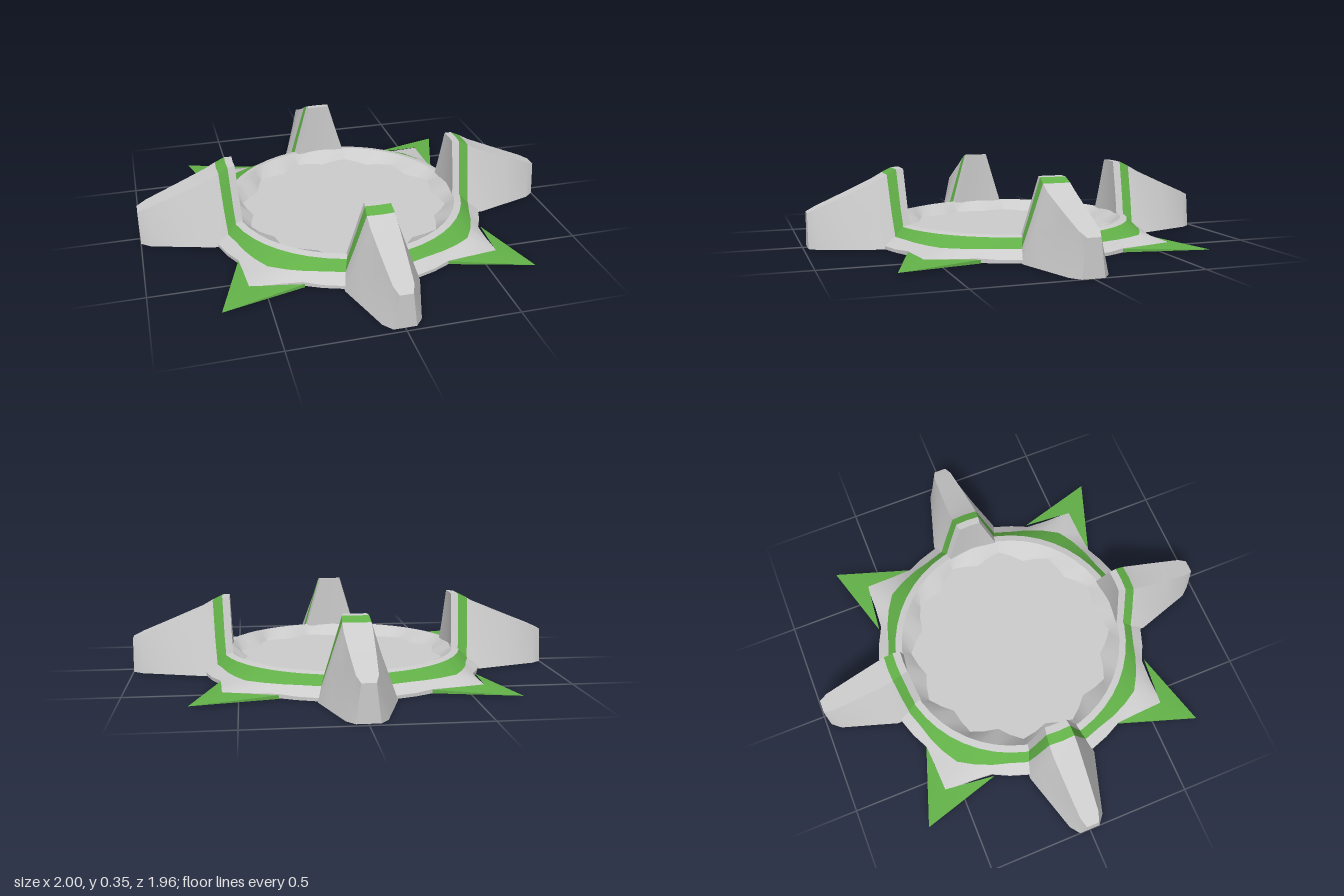
import * as THREE from 'three';
import { toCreasedNormals } from 'three/addons/utils/BufferGeometryUtils.js';

const GREY = 0xcccccc, GREEN = 0x62b048;

function makeMesh(name, points, color, crease = 0.6) {
  const geo = new THREE.BufferGeometry();
  geo.setAttribute('position', new THREE.Float32BufferAttribute(points.flat(), 3));
  const mesh = new THREE.Mesh(toCreasedNormals(geo, crease), new THREE.MeshStandardMaterial({ color }));
  mesh.name = name;
  return mesh;
}

const quad = (out, a, b, c, d) => out.push(a, b, c, a, c, d);

// Dish: one radial profile per angle, joined into concentric strips
const SEGMENTS = 48;
function dishProfile(i) {
  const angle = (i / SEGMENTS) * Math.PI * 2;
  const quarter = Math.PI / 2;
  const fromAxis = Math.abs(angle - Math.round(angle / quarter) * quarter);
  const corner = Math.max(0, (fromAxis - 0.4) / (Math.PI / 4 - 0.4));
  const edge = Math.max(0.672, 0.575 / Math.cos(fromAxis));
  const scallop = [0.455, 0.48, 0.505, 0.48][i % 4];
  const lip = 0.015 + 0.012 * corner;
  return [
    [0, 0.05], [scallop, 0.05], [0.545, 0.1], [0.578, 0.093],
    [0.62 + 0.045 * corner, 0.052], [edge, lip], [edge, 0], [0, 0],
  ].map(([r, y]) => [r * Math.cos(angle), y, r * Math.sin(angle)]);
}

function dishStrip(name, from, to, color) {
  const out = [];
  for (let i = 0; i < SEGMENTS; i++) {
    const p = dishProfile(i), q = dishProfile((i + 1) % SEGMENTS);
    for (let k = from; k < to; k++) quad(out, p[k], q[k], q[k + 1], p[k + 1]);
  }
  return makeMesh(name, out, color);
}

// Fin: tapering trapezoid sections [distance, half base, half top, height]
const FIN = [
  [0.54, 0.155, 0.052, 0.352], [0.575, 0.16, 0.058, 0.35], [0.62, 0.166, 0.062, 0.328],
  [0.67, 0.17, 0.062, 0.298], [0.82, 0.125, 0.054, 0.236], [0.955, 0.085, 0.045, 0.182], [1, 0.05, 0.03, 0.162],
];

function finSection([d, base, top, height], length) {
  const z = d > 0.67 ? 0.67 + (d - 0.67) * (length - 0.67) / 0.33 : d;
  const bend = d < 0.65 ? 0.9 : 0; // follow the round rim
  const mid = (base + top) / 2;
  return [[base, 0], [mid, height / 2], [top, height], [0, height],
    [-top, height], [-mid, height / 2], [-base, 0], [0, 0]]
    .map(([x, y]) => [x, y, z - bend * x * x]);
}

function finPart(name, from, to, length, color) {
  const out = [], rings = FIN.map((s) => finSection(s, length));
  const n = rings[0].length;
  for (let s = from; s < to; s++) {
    for (let i = 0; i < n; i++) {
      const j = (i + 1) % n;
      quad(out, rings[s][i], rings[s][j], rings[s + 1][j], rings[s + 1][i]);
    }
  }
  // Inner wall and nose, fanned from the bottom centre
  for (let i = 0; i < n - 2; i++) {
    if (from === 0) out.push(rings[0][7], rings[0][i + 1], rings[0][i]);
    if (to === FIN.length - 1) out.push(rings[to][7], rings[to][i], rings[to][i + 1]);
  }
  return makeMesh(name, out, color, 0.7);
}

function makeFin(length) {
  const fin = new THREE.Group();
  fin.name = 'fin';
  fin.add(
    finPart('finInnerEdge', 0, 1, length, GREY),
    finPart('finStripe', 1, 2, length, GREEN),
    finPart('finBody', 2, FIN.length - 1, length, GREY),
  );
  return fin;
}

// Flat corner spike with a raised inner corner, pointing to +x +z
function makeSpike() {
  const tip = [0.705, 0.012, 0.705], peak = [0.57, 0.03, 0.57];
  const a = [0.33, 0.016, 0.58], b = [0.595, 0.016, 0.33];
  const a0 = [0.33, 0, 0.58], b0 = [0.595, 0, 0.33], peak0 = [0.57, 0, 0.57];
  const spike = new THREE.Group();
  spike.name = 'spike';
  spike.add(
    makeMesh('spikeTop', [a, tip, peak, peak, tip, b, a, a0, tip, b, tip, b0], GREEN),
    makeMesh('spikeUnderside', [a0, peak0, tip, peak0, b0, tip], GREY),
  );
  return spike;
}

export function createModel() {
  const model = new THREE.Group();
  model.name = 'starDish';
  model.add(
    dishStrip('dishFloor', 0, 1, GREY),
    dishStrip('dishWall', 1, 2, GREY),
    dishStrip('rim', 2, 3, GREY),
    dishStrip('rimStripe', 3, 4, GREEN),
    dishStrip('apron', 4, 6, GREY),
    dishStrip('underside', 6, 7, GREY),
  );
  for (let i = 0; i < 4; i++) {
    const fin = makeFin(i % 2 ? 1 : 0.978);
    const spike = makeSpike();
    fin.rotation.y = spike.rotation.y = (i * Math.PI) / 2;
    model.add(fin, spike);
  }
  return model;
}
